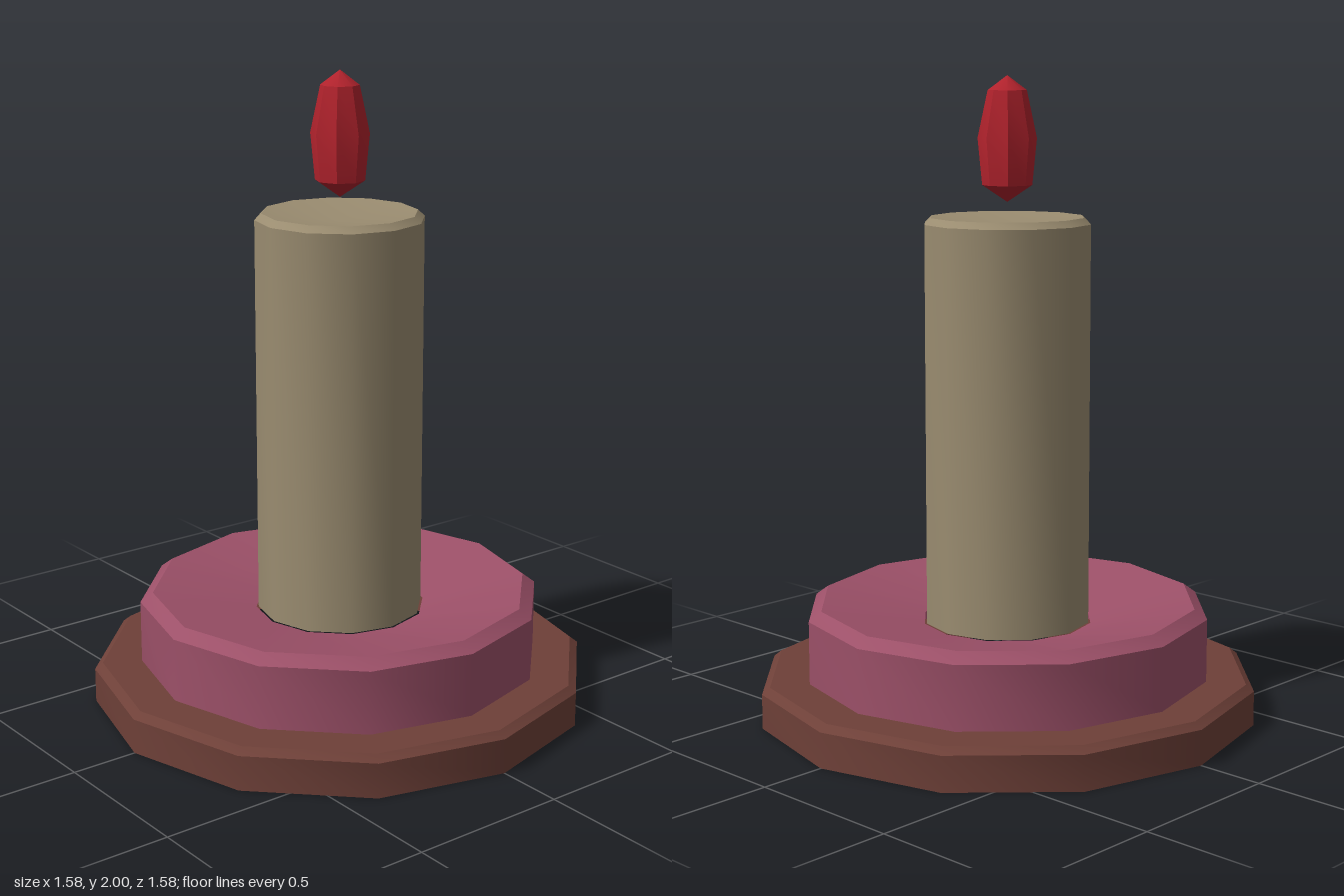
import * as THREE from 'three';
import { toCreasedNormals } from 'three/addons/utils/BufferGeometryUtils.js';

// Turned shell from [radius, height] points, smooth around but sharp at the bevels
function turned(name, color, sides, profile) {
  const points = profile.map(([r, y]) => new THREE.Vector2(r, y));
  const geometry = toCreasedNormals(new THREE.LatheGeometry(points, sides), 0.6);
  const material = new THREE.MeshStandardMaterial({ color, side: THREE.DoubleSide });
  const mesh = new THREE.Mesh(geometry, material);
  mesh.name = name;
  return mesh;
}

export function createModel() {
  const group = new THREE.Group();
  group.name = 'candle';

  group.add(
    // Low foot, open underneath, with a wide hole under the dish
    turned('base', 0x6e4038, 12, [[0.79, 0], [0.79, 0.11], [0.765, 0.13], [0.44, 0.13]]),
    // Dish whose top slopes down to a hole around the candle
    turned('dish', 0x9c5068, 12, [[0.64, 0.13], [0.64, 0.33], [0.6, 0.36], [0.27, 0.295]]),
    // Candle shaft, open at the bottom, slightly hollowed on top
    turned('candleStick', 0x9a8c70, 12, [[0.263, 0.295], [0.263, 1.55], [0.242, 1.57], [0, 1.54]]),
    // Faceted flame floating above the candle
    turned('flame', 0xb0222c, 8, [[0, 1.615], [0.077, 1.667], [0.091, 1.81], [0.06, 1.955], [0, 2]]),
  );
  return group;
}
